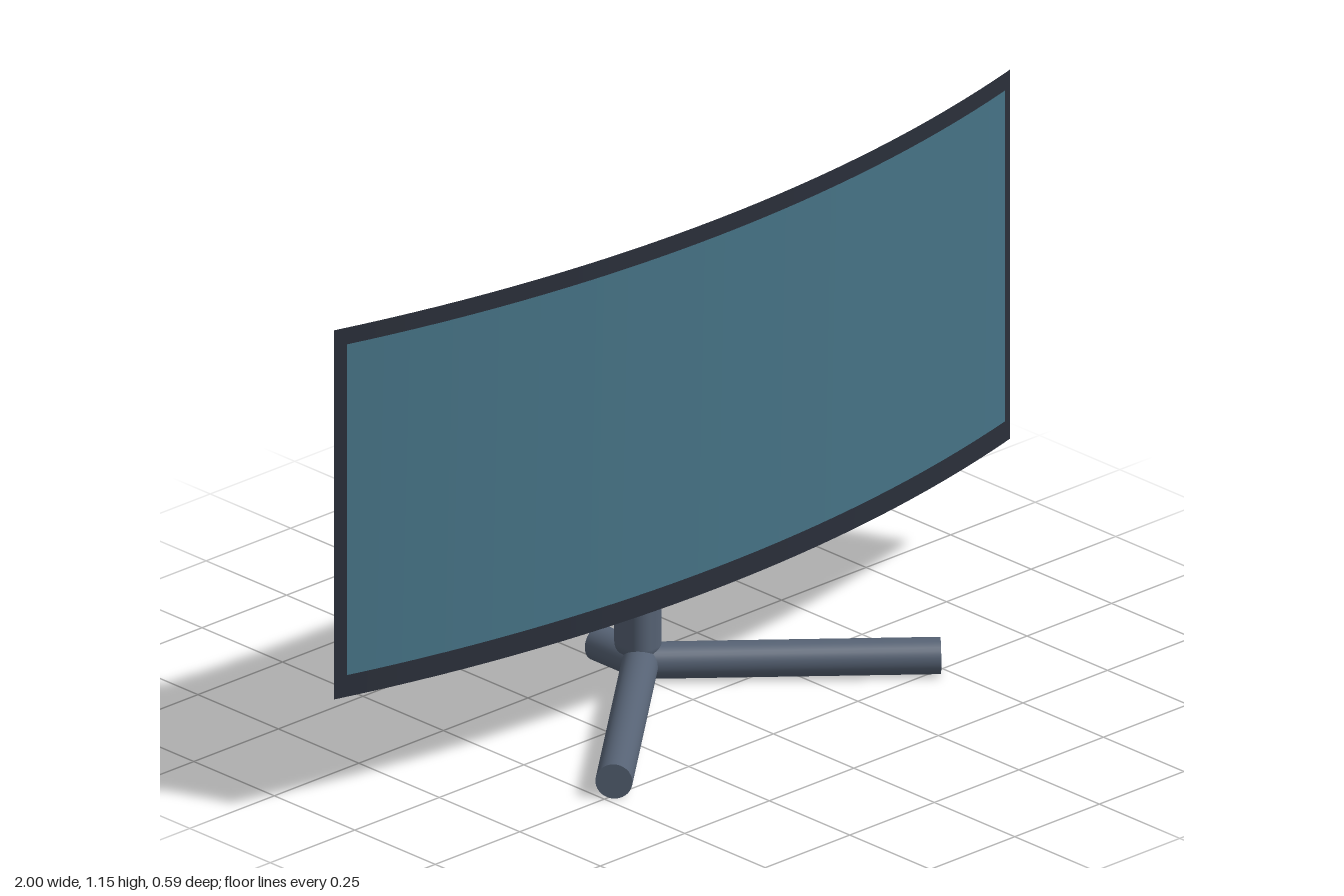
import * as THREE from 'three';
import { RoundedBoxGeometry } from 'three/addons/geometries/RoundedBoxGeometry.js';

const mat = (color, side = THREE.FrontSide) => new THREE.MeshStandardMaterial({ color, side });

export function createModel() {
  const group = new THREE.Group();
  const standMat = mat(0x566274);
  const frameMat = mat(0x2a2f3a, THREE.DoubleSide);
  const screenMat = mat(0x467386);

  const add = (name, geometry, material, x = 0, y = 0, z = 0) => {
    const mesh = new THREE.Mesh(geometry, material);
    mesh.name = name;
    mesh.position.set(x, y, z);
    group.add(mesh);
    return mesh;
  };

  // Thin sheet bent along a circular arc, bulging towards the front
  const R = 3.64;
  const curvedSheet = (width, bottom, top, zMid) => {
    const g = new THREE.PlaneGeometry(width, top - bottom, 32, 1);
    const p = g.attributes.position;
    for (let i = 0; i < p.count; i++) {
      const x = p.getX(i);
      p.setZ(i, zMid - R + Math.sqrt(R * R - x * x));
    }
    g.translate(0, (top + bottom) / 2, 0);
    g.computeVertexNormals();
    return g;
  };
  add('panelFrame', curvedSheet(2, 0.285, 1.15, 0.075), frameMat);
  add('screen', curvedSheet(1.945, 0.338, 1.113, 0.08), screenMat);

  // Small strip behind the lower edge of the panel
  add('rearStrip', new THREE.BoxGeometry(0.12, 0.005, 0.005), frameMat, 0, 0.308, -0.03);

  // Upright post with rounded edges
  add('post', new RoundedBoxGeometry(0.085, 0.42, 0.1, 5, 0.035), standMat, 0, 0.255, -0.171);

  // Round feet lying on the ground, each running from the post to its tip
  const r = 0.04;
  const addFoot = (name, tipX, tipZ) => {
    const start = new THREE.Vector3(0, r, -0.162);
    const dir = new THREE.Vector3(tipX, r, tipZ).sub(start);
    const foot = add(name, new THREE.CylinderGeometry(r, r, dir.length(), 32), standMat);
    foot.position.copy(start).addScaledVector(dir, 0.5);
    foot.quaternion.setFromUnitVectors(new THREE.Vector3(0, 1, 0), dir.normalize());
  };
  addFoot('frontFootLeft', 0.483, 0.262);
  addFoot('frontFootRight', -0.483, 0.262);
  addFoot('rearFoot', 0, -0.294);

  return group;
}
